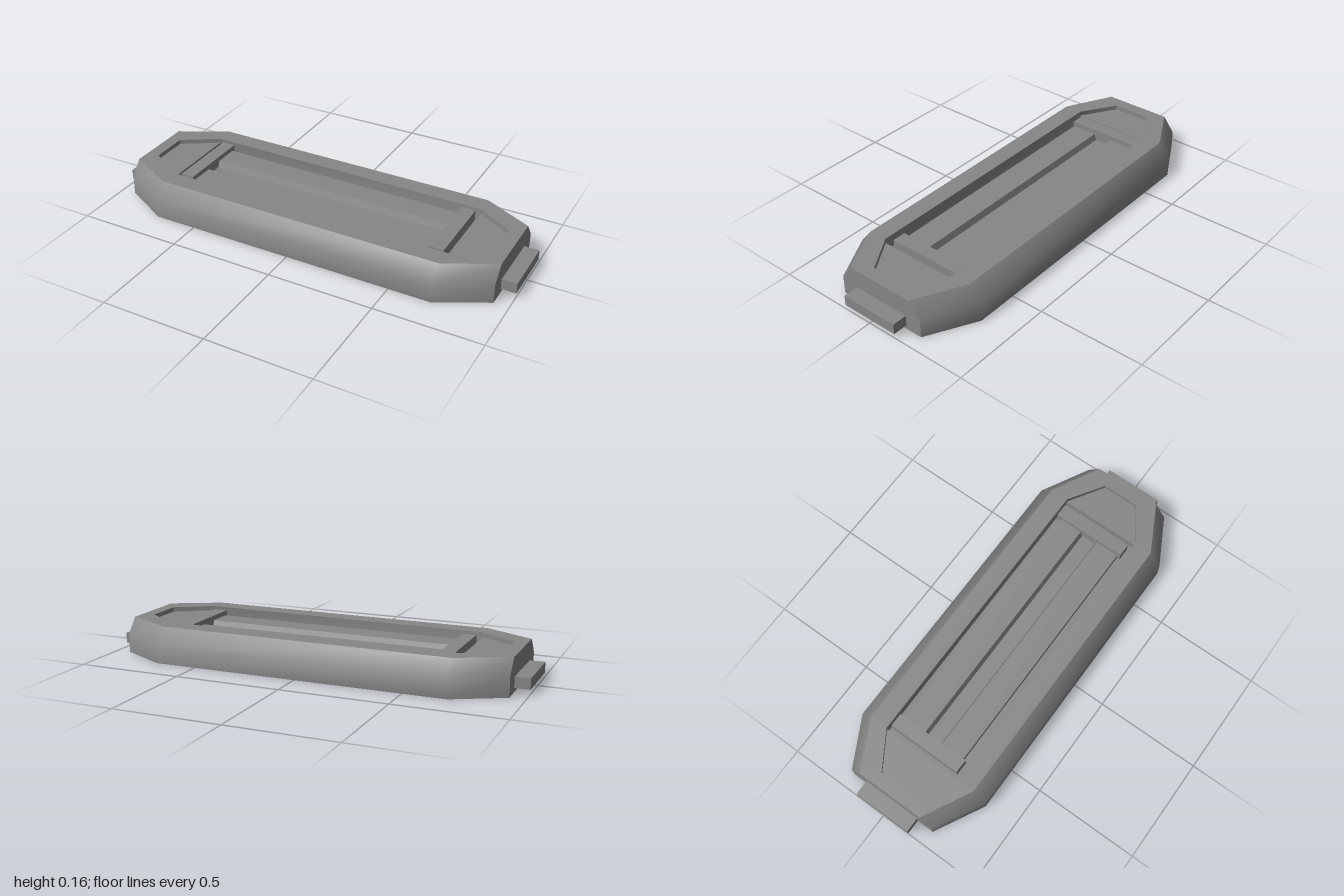
import * as THREE from 'three';
import { toCreasedNormals } from 'three/addons/utils/BufferGeometryUtils.js';

const material = new THREE.MeshStandardMaterial({ color: 0x878787 });

function add(group, name, geometry, x = 0, y = 0, z = 0) {
  const mesh = new THREE.Mesh(geometry, material);
  mesh.name = name;
  mesh.position.set(x, y, z);
  group.add(mesh);
}

// Long octagon at height y: straight sides at zSide, ends at xEnd with half width zEnd
function octagon(y, xEnd, zSide, zEnd) {
  const x = 0.7;
  return [[xEnd, zEnd], [xEnd, -zEnd], [x, -zSide], [-x, -zSide],
    [-xEnd, -zEnd], [-xEnd, zEnd], [-x, zSide], [x, zSide]].map(([px, pz]) => [px, y, pz]);
}

// Skin a list of rings and close the first and last with fans
function skin(rings) {
  const pos = [];
  const n = rings[0].length;
  const tri = (a, b, c) => pos.push(...a, ...b, ...c);
  for (let r = 0; r < rings.length - 1; r++) {
    for (let i = 0; i < n; i++) {
      const j = (i + 1) % n;
      const [a, b, c, d] = [rings[r][i], rings[r][j], rings[r + 1][j], rings[r + 1][i]];
      tri(a, b, c);
      tri(a, c, d);
    }
  }
  const first = rings[0], last = rings[rings.length - 1];
  for (let i = 1; i < n - 1; i++) {
    tri(first[0], first[i + 1], first[i]);
    tri(last[0], last[i], last[i + 1]);
  }
  const geometry = new THREE.BufferGeometry();
  geometry.setAttribute('position', new THREE.Float32BufferAttribute(pos, 3));
  return toCreasedNormals(geometry, 0.85);
}

// Prism from a 2D outline, extruded by depth
function prism(points, depth) {
  const shape = new THREE.Shape(points.map(([x, y]) => new THREE.Vector2(x, y)));
  return new THREE.ExtrudeGeometry(shape, { depth, bevelEnabled: false });
}

export function createModel() {
  const group = new THREE.Group();
  group.name = 'housing';

  // Bevelled shell with a recess sunk into its top
  add(group, 'shell', skin([
    octagon(0, 0.93, 0.345, 0.222),
    octagon(0.09, 0.93, 0.345, 0.222),
    octagon(0.162, 0.93, 0.285, 0.165),
    octagon(0.162, 0.87, 0.197, 0.09),
    octagon(0.1, 0.87, 0.197, 0.09),
  ]));

  for (const s of [-1, 1]) {
    // Raised floor in each tapered end of the recess
    const plate = prism([[0.7, -0.197], [0.87, -0.09], [0.87, 0.09], [0.7, 0.197]], 0.04);
    plate.rotateX(-Math.PI / 2);
    if (s < 0) plate.rotateY(Math.PI);
    add(group, 'endPlate', plate, 0, 0.1, 0);

    // Bar across the end of the rails
    add(group, 'crossBar', new THREE.BoxGeometry(0.065, 0.053, 0.362), s * 0.643, 0.1265, -0.008);

    // Tab on the outer end
    add(group, 'endTab', new THREE.BoxGeometry(0.1, 0.05, 0.284), s * 0.95, 0.045, 0);

    // Rail with a sloped face towards the central groove
    const rail = prism([[0.036, 0], [0.164, 0], [0.164, 0.03], [0.047, 0.03]], 1.23);
    rail.translate(0, 0, -0.615);
    rail.rotateY(s * Math.PI / 2);
    add(group, 'rail', rail, 0, 0.1, -0.006);
  }
  return group;
}
